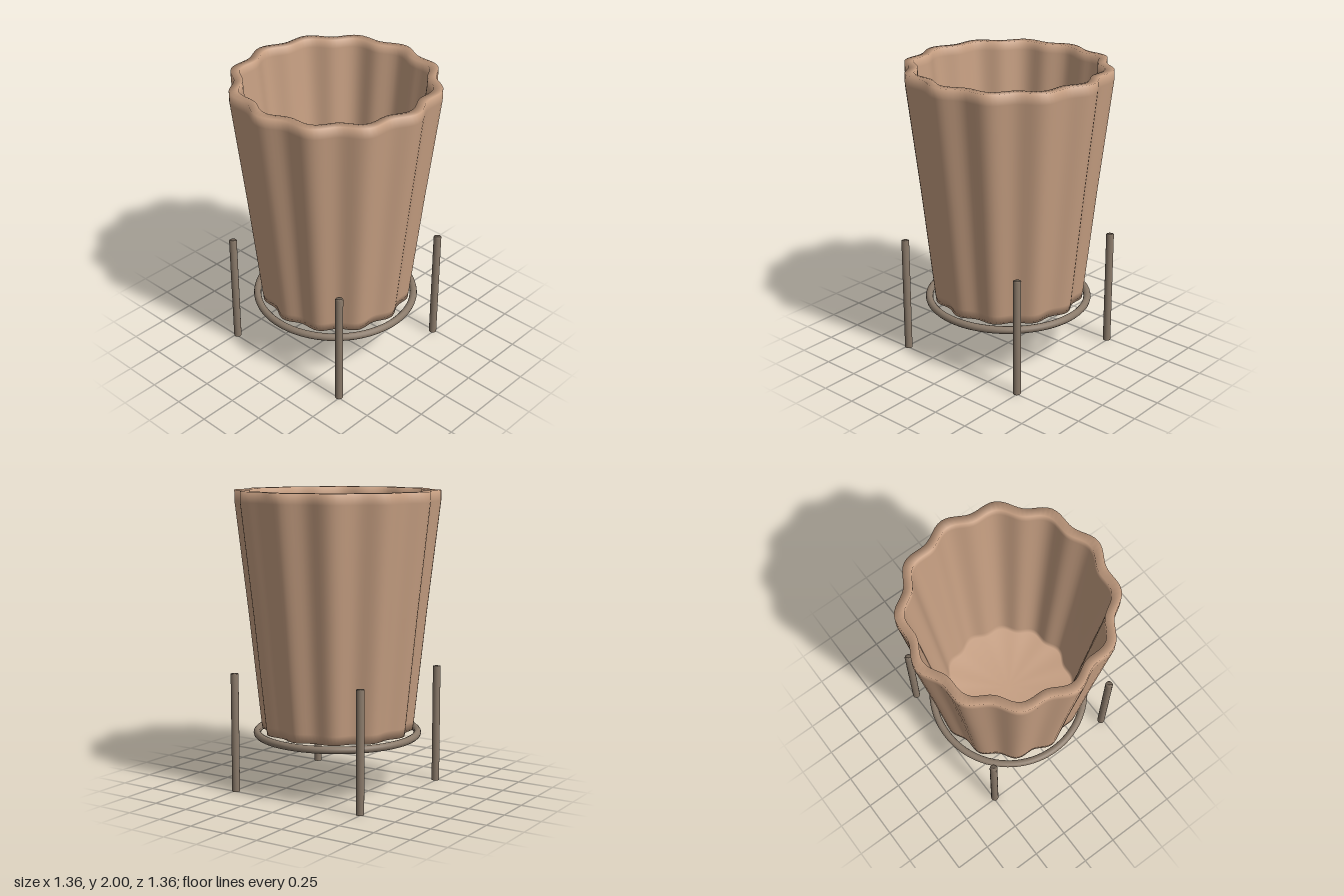
import * as THREE from 'three';
import { mergeVertices } from 'three/addons/utils/BufferGeometryUtils.js';

const LOBES = 12;
const points = (list) => list.map(([r, y]) => new THREE.Vector2(r, y));

// Turned pot whose radius ripples gently around the axis
function flutedPot() {
  const lathe = new THREE.LatheGeometry(points([
    [0, 0.4], [0.492, 0.4], [0.499, 0.46],   // underside and foot
    [0.575, 1.2], [0.657, 1.93], [0.657, 2], // outer wall
    [0.598, 2], [0.598, 1.94],               // rim
    [0.52, 1.2], [0.445, 0.5], [0.43, 0.46], [0, 0.46], // inner wall and floor
  ]), 144);
  lathe.deleteAttribute('uv');
  lathe.deleteAttribute('normal');
  const p = lathe.attributes.position;
  for (let i = 0; i < p.count; i++) {
    const x = p.getX(i), z = p.getZ(i);
    const k = 1 + 0.035 * Math.cos(LOBES * Math.atan2(z, x));
    p.setX(i, x * k);
    p.setZ(i, z * k);
  }
  const geometry = mergeVertices(lathe, 1e-5);
  geometry.computeVertexNormals();
  return geometry;
}

export function createModel() {
  const model = new THREE.Group();
  model.name = 'planterOnStand';
  const clay = new THREE.MeshStandardMaterial({ name: 'clay', color: 0xc69f82 });
  const metal = new THREE.MeshStandardMaterial({ name: 'bronzeMetal', color: 0x8a7a6a });

  const add = (name, geometry, material, x = 0, y = 0, z = 0) => {
    const mesh = new THREE.Mesh(geometry, material);
    mesh.name = name;
    mesh.position.set(x, y, z);
    model.add(mesh);
    return mesh;
  };

  add('pot', flutedPot(), clay);

  // Support ring under the pot
  const ring = new THREE.TorusGeometry(0.54, 0.025, 12, 96);
  ring.rotateX(Math.PI / 2);
  add('supportRing', ring, metal, 0, 0.38, 0);

  // Four upright rods with softly shaded ends
  const rod = new THREE.LatheGeometry(points([[0, 0], [0.026, 0], [0.026, 0.8], [0, 0.8]]), 20);
  for (const [side, x] of [['Left', 0.49], ['Right', -0.49]])
    for (const [end, z] of [['front', 0.49], ['back', -0.49]])
      add(`${end}${side}Leg`, rod, metal, x, 0, z);

  return model;
}
